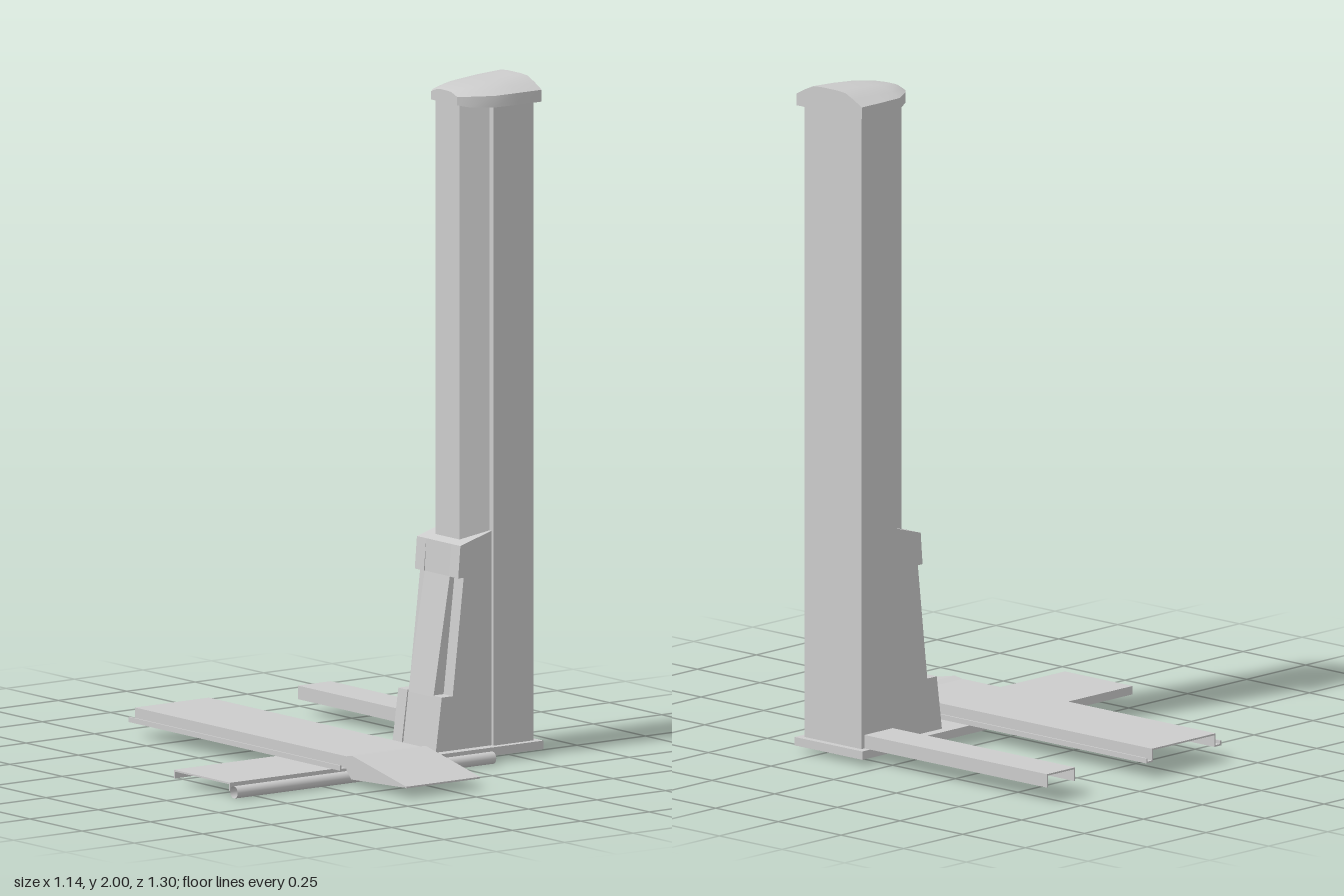
import * as THREE from 'three';
import { toCreasedNormals } from 'three/addons/utils/BufferGeometryUtils.js';

const material = new THREE.MeshStandardMaterial({ color: 0xcccccc });
const openMaterial = new THREE.MeshStandardMaterial({ color: 0xcccccc, side: THREE.DoubleSide });
const MID = 0.19; // z of the post's centre line

function part(parent, name, geometry, mat = material) {
  const mesh = new THREE.Mesh(geometry, mat);
  mesh.name = name;
  parent.add(mesh);
  return mesh;
}

function extrude(points, depth) {
  const shape = new THREE.Shape(points.map(([a, b]) => new THREE.Vector2(a, b)));
  return new THREE.ExtrudeGeometry(shape, { depth, bevelEnabled: false });
}

// Profile in (x, y), swept along z
const alongZ = (points, z0, z1) => extrude(points, z1 - z0).translate(0, 0, z0);
// Profile in (z, y), swept along x
const alongX = (points, x0, x1) => extrude(points, x1 - x0).rotateY(-Math.PI / 2).translate(x1, 0, 0);
// Plan in (x, z), swept along y
const alongY = (points, y0, y1) =>
  extrude(points.map(([x, z]) => [x, -z]), y1 - y0).rotateX(-Math.PI / 2).translate(0, y0, 0);

// Folded channel, open below
const channel = (a, b, low, top, t) => [
  [a, low], [a, top], [b, top], [b, low], [b - t, low], [b - t, top - t], [a + t, top - t], [a + t, low],
];

// Domed cap lofted through cross-sections along x
function capGeometry() {
  const stations = [[0.31, 0.062, 1.937, 1.962, 1.974], [0.335, 0.085, 1.932, 1.963, 1.98],
    [0.40, 0.124, 1.93, 1.964, 1.988], [0.48, 0.13, 1.93, 1.965, 1.995], [0.567, 0.13, 1.93, 1.965, 2]];
  const dome = [[-1, 0], [-0.75, 0.5], [-0.5, 0.92], [-0.25, 1], [0.25, 1], [0.5, 0.92], [0.75, 0.5], [1, 0]];
  const rings = stations.map(([x, half, low, side, top]) => [
    [x, low, MID - half],
    ...dome.map(([u, v]) => [x, side + (top - side) * v, MID + u * half]),
    [x, low, MID + half],
  ]);
  const n = rings[0].length;
  const index = [];
  for (let i = 0; i < rings.length - 1; i++) {
    for (let j = 0; j < n; j++) {
      const a = i * n + j, b = i * n + (j + 1) % n;
      index.push(a, b, a + n, b, b + n, a + n);
    }
  }
  const last = (rings.length - 1) * n;
  for (let j = 1; j < n - 1; j++) {
    index.push(0, j + 1, j, last, last + j, last + j + 1);
  }
  const geometry = new THREE.BufferGeometry();
  geometry.setAttribute('position', new THREE.Float32BufferAttribute(rings.flat(2), 3));
  geometry.setIndex(index);
  return toCreasedNormals(geometry, 0.6);
}

export function createModel() {
  const model = new THREE.Group();
  model.name = 'singlePostLift';

  // Post: wide back section, then a stepped and tapered inner section
  const post = new THREE.Group();
  post.name = 'post';
  model.add(post);
  part(post, 'column', alongY([
    [0.55, 0.078], [0.55, 0.304], [0.403, 0.304], [0.403, 0.078]], 0.045, 1.935));
  part(post, 'innerMast', alongY([
    [0.403, MID - 0.095], [0.403, MID + 0.095], [0.322, MID + 0.058], [0.322, MID - 0.058]], 0.045, 1.935));
  part(post, 'cap', capGeometry());

  // Carriage: full core with notched side wings
  const carriage = new THREE.Group();
  carriage.name = 'carriage';
  model.add(carriage);
  part(carriage, 'carriageCore', alongZ([
    [0.205, 0.045], [0.41, 0.045], [0.41, 0.68], [0.29, 0.645], [0.285, 0.55], [0.225, 0.2]],
    MID - 0.06, MID + 0.06));
  const wing = [[0.2, 0.045], [0.404, 0.045], [0.404, 0.678], [0.29, 0.645], [0.282, 0.55],
    [0.302, 0.55], [0.262, 0.205], [0.222, 0.205]];
  for (const [name, z0] of [['backWing', MID - 0.104], ['frontWing', MID + 0.06]]) {
    part(carriage, name, alongZ(wing, z0, z0 + 0.044));
  }

  // Base under the post and the folded cross plate
  const base = new THREE.Group();
  base.name = 'base';
  model.add(base);
  part(base, 'basePlate', new THREE.BoxGeometry(0.27, 0.025, 0.27)).position.set(0.435, 0.0325, MID);
  part(base, 'crossPlate', alongX(channel(0.055, 0.325, 0.02, 0.045, 0.005), -0.575, 0.3));
  const tube = part(base, 'frontTube',
    new THREE.CylinderGeometry(0.018, 0.018, 0.945, 20, 1, true).rotateZ(Math.PI / 2), openMaterial);
  tube.position.set(-0.1025, 0.019, 0.343);

  // Runway: raised deck with side flanges
  const runway = new THREE.Group();
  runway.name = 'runway';
  model.add(runway);
  const L = -0.178, R = 0.092, t = 0.005;
  part(runway, 'runwayDeck', alongZ([
    [-0.202, 0.06], [-0.202, 0.045], [L + t, 0.045], [L + t, 0.085 - t], [R - t, 0.085 - t],
    [R - t, 0.045], [0.116, 0.045], [0.116, 0.06], [0.111, 0.06], [0.111, 0.05],
    [R, 0.05], [R, 0.085], [L, 0.085], [L, 0.05], [-0.197, 0.05], [-0.197, 0.06]], -0.65, 0.362));

  // Entry ramp: sloped sheet on wedge-shaped sides
  const ramp = new THREE.Group();
  ramp.name = 'entryRamp';
  model.add(ramp);
  part(ramp, 'rampSheet', alongX([
    [0.36, 0.085], [0.39, 0.09], [0.648, 0.036], [0.648, 0.031], [0.39, 0.083], [0.36, 0.079]], L, R));
  const side = [[0.36, 0.085], [0.39, 0.09], [0.648, 0.036], [0.64, 0.032], [0.385, 0.02], [0.36, 0.045]];
  for (const [name, x] of [['rampRightSide', L], ['rampLeftSide', R - t]]) {
    part(ramp, name, alongX(side, x, x + t));
  }

  // Narrow rail behind the post
  part(model, 'rearRail', alongZ(channel(0.417, 0.537, 0.045, 0.085, 0.005), -0.65, 0.08));

  return model;
}
